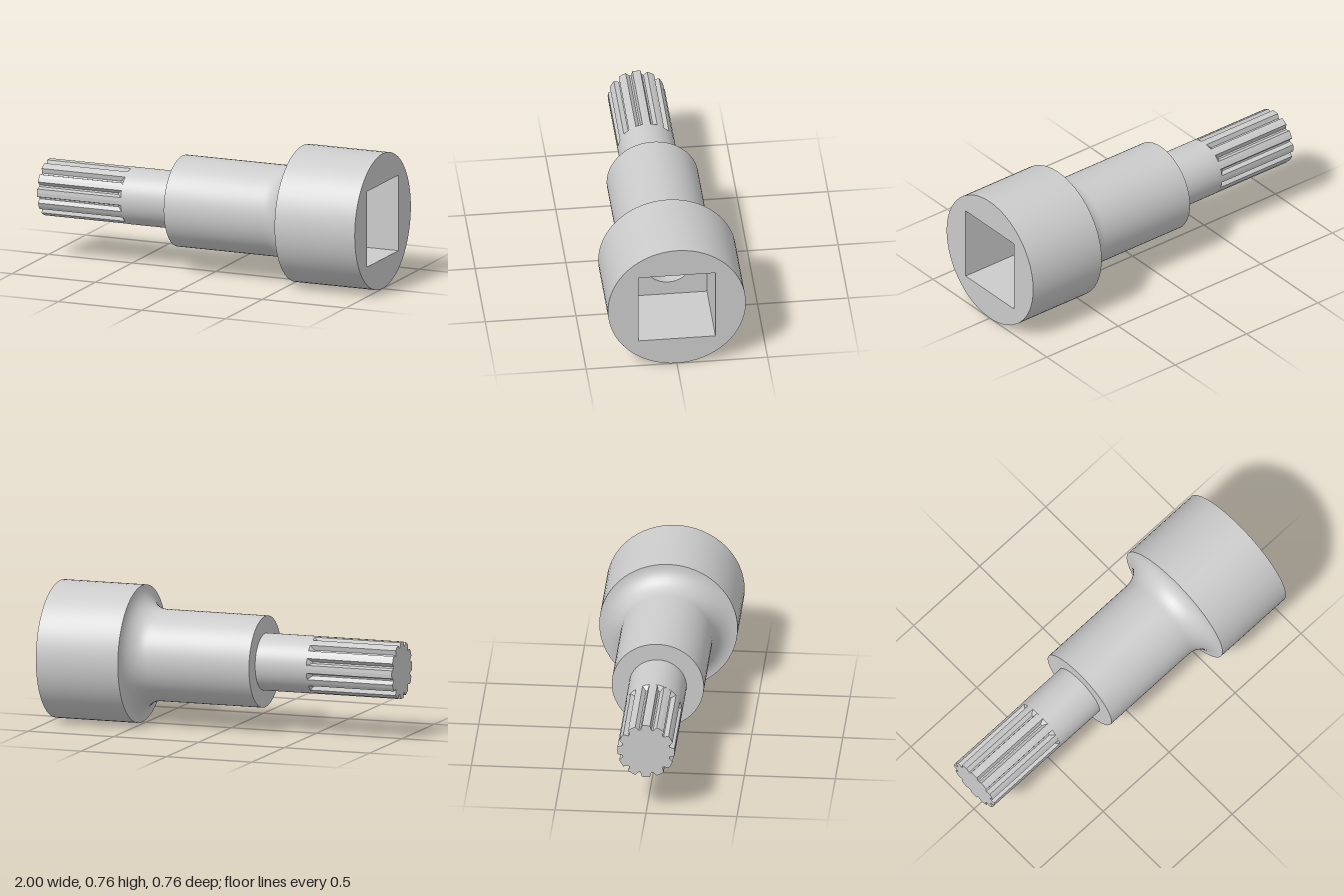
import * as THREE from 'three';
import { toCreasedNormals } from 'three/addons/utils/BufferGeometryUtils.js';

// Built upright along +y, then laid on its side so the axis runs along +x.
const HEAD_R = 0.38, NECK_R = 0.253, SHANK_R = 0.158, ROOT_R = 0.133, BORE_R = 0.133;
const HALF = 0.2125;      // half width of the square socket
const FLOOR = 0.58;       // axial position of the socket floor
const BORE_END = 0.25;
const SEGMENTS = 64;

export function createModel() {
  const grey = new THREE.MeshStandardMaterial({ color: 0xcccccc });
  const tool = new THREE.Group();
  tool.name = 'socketBit';

  const add = (name, geometry, parent = tool) => {
    const mesh = new THREE.Mesh(geometry, grey);
    mesh.name = name;
    parent.add(mesh);
    return mesh;
  };
  const lathe = (points) => toCreasedNormals(
    new THREE.LatheGeometry(points.map(([r, y]) => new THREE.Vector2(r, y)), SEGMENTS), 0.5);
  const faceUp = (shape, y) =>
    new THREE.ShapeGeometry(shape, SEGMENTS / 2).rotateX(-Math.PI / 2).translate(0, y, 0);
  const square = (path) => path.moveTo(-HALF, -HALF).lineTo(HALF, -HALF)
    .lineTo(HALF, HALF).lineTo(-HALF, HALF).closePath();

  // Turned body: chamfered shank, neck, concave fillet and head
  const profile = [[ROOT_R, -0.525], [SHANK_R, -0.5], [SHANK_R, -0.2], [NECK_R, -0.2]];
  for (let i = 0; i <= 10; i++) {
    const a = (i / 10) * Math.PI / 2;
    profile.push([HEAD_R - (HEAD_R - NECK_R) * Math.cos(a), 0.393 + 0.127 * Math.sin(a)]);
  }
  profile.push([HEAD_R, 1]);
  add('body', lathe(profile));

  // Ring-shaped end face around the square socket
  const face = new THREE.Shape().absarc(0, 0, HEAD_R, 0, Math.PI * 2);
  face.holes.push(square(new THREE.Path()));
  add('headFace', faceUp(face, 1));

  // Socket walls, floor and the round bore below it
  const socket = new THREE.Group();
  socket.name = 'squareSocket';
  tool.add(socket);
  for (let i = 0; i < 4; i++) {
    add('socketWall', new THREE.PlaneGeometry(HALF * 2, 1 - FLOOR)
      .translate(0, (1 + FLOOR) / 2, -HALF).rotateY(i * Math.PI / 2), socket);
  }
  const floor = square(new THREE.Shape());
  floor.holes.push(new THREE.Path().absarc(0, 0, BORE_R, 0, Math.PI * 2, true));
  add('socketFloor', faceUp(floor, FLOOR), socket);
  add('bore', lathe([[BORE_R, FLOOR], [BORE_R, BORE_END], [0, BORE_END]]), socket);

  // Splined tip: twelve teeth with narrow grooves between them
  const outline = [];
  for (let i = 0; i < 12; i++) {
    for (const [deg, r] of [[-8, SHANK_R], [0, SHANK_R], [8, SHANK_R], [13, ROOT_R], [17, ROOT_R]]) {
      const a = THREE.MathUtils.degToRad(i * 30 + deg);
      outline.push(new THREE.Vector2(r * Math.cos(a), r * Math.sin(a)));
    }
  }
  add('splinedTip', new THREE.ExtrudeGeometry(new THREE.Shape(outline), { depth: 0.5, bevelEnabled: false })
    .rotateX(-Math.PI / 2).translate(0, -1, 0));

  tool.rotation.z = -Math.PI / 2;
  tool.position.y = HEAD_R;
  const model = new THREE.Group();
  model.name = 'model';
  model.add(tool);
  return model;
}
